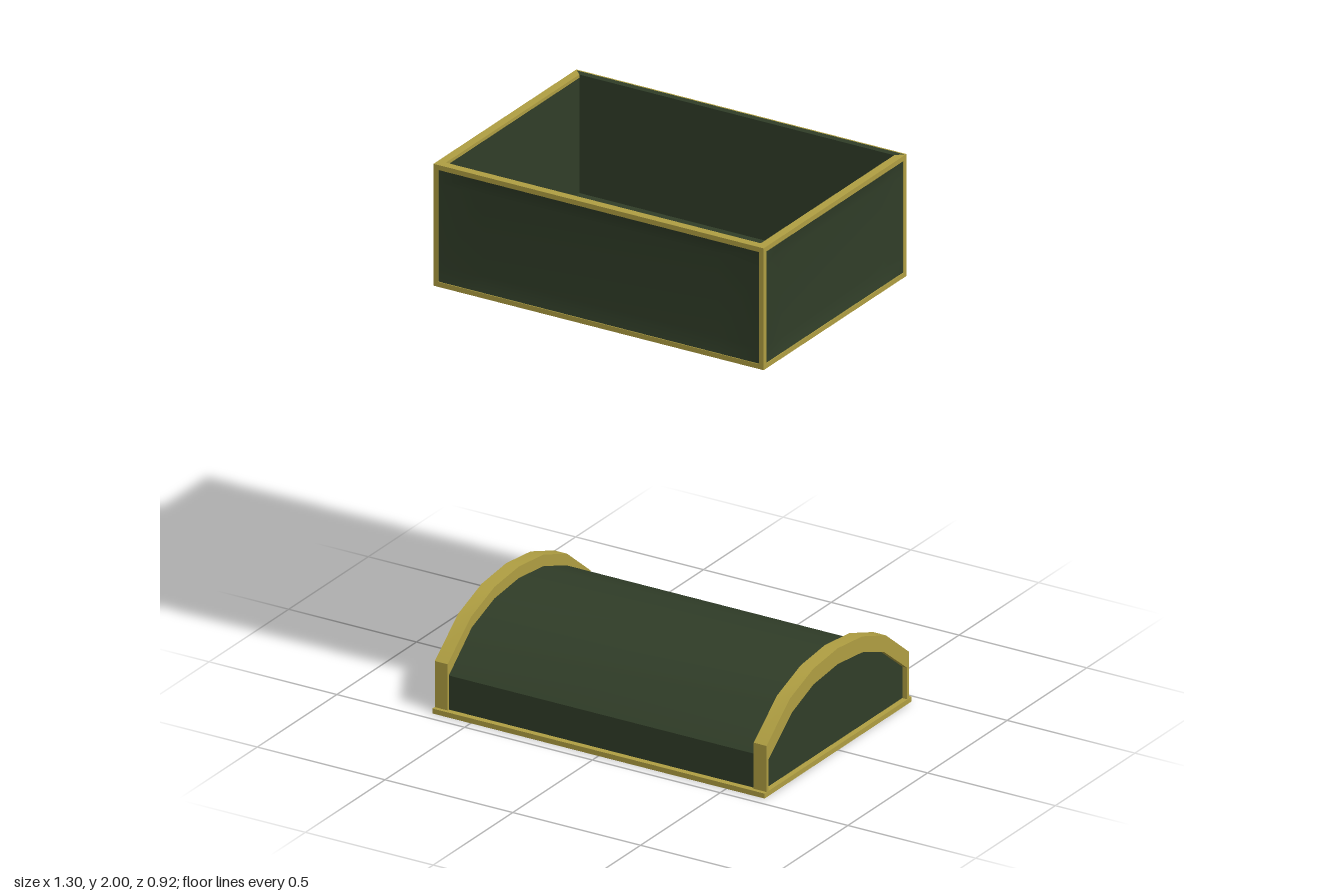
import * as THREE from 'three';
import { toCreasedNormals } from 'three/addons/utils/BufferGeometryUtils.js';

const green = new THREE.MeshStandardMaterial({ color: 0x303d28 });
const gold = new THREE.MeshStandardMaterial({ color: 0xb09f42 });

function addMesh(parent, name, geometry, material) {
  const mesh = new THREE.Mesh(geometry, material);
  mesh.name = name;
  parent.add(mesh);
  return mesh;
}

const polygon = (points) => new THREE.Shape(points.map(([x, y]) => new THREE.Vector2(x, y)));
const rect = (w, h) => [[-w / 2, -h / 2], [w / 2, -h / 2], [w / 2, h / 2], [-w / 2, h / 2]];
const extrude = (shape, depth) => new THREE.ExtrudeGeometry(shape, { depth, bevelEnabled: false });

// Rectangular ring in the xy plane, extruded along +z
function ring(w, h, border, depth) {
  const shape = polygon(rect(w, h));
  shape.holes.push(polygon(rect(w - 2 * border, h - 2 * border)));
  return extrude(shape, depth);
}

// Panel that dips towards its middle
function dishedPanel(w, h, edgeZ, middleZ) {
  const geo = new THREE.PlaneGeometry(w, h, 3, 3);
  const pos = geo.attributes.position;
  for (let i = 0; i < pos.count; i++) {
    const col = i % 4, row = Math.floor(i / 4);
    const inside = col % 3 !== 0 && row % 3 !== 0;
    if (col % 3) pos.setX(i, (col === 1 ? -1 : 1) * w * 0.365);
    if (row % 3) pos.setY(i, (row === 1 ? 1 : -1) * h * 0.365);
    pos.setZ(i, inside ? middleZ : edgeZ);
  }
  geo.computeVertexNormals();
  return geo;
}

// Open-topped box
function createBox() {
  const W = 1.292, D = 0.898, H = 0.444, wall = 0.03, trim = 0.006;
  const box = new THREE.Group();
  box.name = 'chestBox';

  const sides = [['front', W, D], ['right', D, W], ['back', W, D], ['left', D, W]];
  sides.forEach(([name, width, span], i) => {
    const side = new THREE.Group();
    side.name = name + 'Side';
    side.rotation.y = i * Math.PI / 2;
    const frame = addMesh(side, name + 'Frame', ring(width, H, 0.018, trim), gold);
    frame.position.set(0, H / 2, span / 2 - trim);
    const panel = addMesh(side, name + 'Panel', dishedPanel(width - 0.034, H - 0.034, -0.003, -0.014), green);
    panel.position.set(0, H / 2, span / 2);

    // Mitred rim on top of the wall; plain at the back
    const outer = width / 2 - trim, inner = width / 2 - wall;
    const rimShape = polygon([[-outer, -(span / 2 - trim)], [outer, -(span / 2 - trim)],
      [inner, -(span / 2 - wall)], [-inner, -(span / 2 - wall)]]);
    const rim = addMesh(side, name + 'Rim', extrude(rimShape, 0.012), name === 'back' ? green : gold);
    rim.rotation.x = -Math.PI / 2;
    rim.position.y = H - 0.012;
    box.add(side);
  });

  // Inner walls and floor
  const lining = addMesh(box, 'innerWalls', ring(W - 0.042, D - 0.042, 0.009, H - 0.015), green);
  lining.rotation.x = -Math.PI / 2;
  lining.position.y = 0.003;
  const floor = addMesh(box, 'floor', new THREE.BoxGeometry(W - 0.012, 0.012, D - 0.012), green);
  floor.position.y = 0.0065;
  return box;
}

// Mirrors a half profile (side to crown) into a full arch outline starting at height y0
function archOutline(half, y0) {
  const right = [[half[0][0], y0], ...half];
  const left = right.slice(0, -1).reverse().map(([x, y]) => [-x, y]);
  return [...right, ...left];
}

// Extrudes an outline along x, centred on the given x
function alongX(points, length, x = 0) {
  const geo = extrude(polygon(points), length);
  geo.translate(0, 0, -length / 2);
  geo.rotateY(Math.PI / 2);
  geo.translate(x, 0, 0);
  return toCreasedNormals(geo, 0.5);
}

// Hollow barrel lid
function createLid() {
  const lid = new THREE.Group();
  lid.name = 'lid';
  const base = 0.015;
  const archOuter = archOutline([[0.448, 0.186], [0.302, 0.302], [0.154, 0.355], [0, 0.371]], base);
  const archInner = archOutline([[0.435, 0.133], [0.29, 0.246], [0.154, 0.297], [0, 0.313]], base);
  const skinOuter = archOutline([[0.44, 0.142], [0.296, 0.262], [0.154, 0.313], [0, 0.329]], base);
  const skinInner = archOutline([[0.42, 0.128], [0.284, 0.243], [0.15, 0.292], [0, 0.308]], base);
  const band = (outer, inner) => [...outer, ...[...inner].reverse()];

  addMesh(lid, 'barrel', alongX(band(skinOuter, skinInner), 1.23), green);
  for (const s of [-1, 1]) {
    const name = s > 0 ? 'left' : 'right';
    addMesh(lid, name + 'Arch', alongX(band(archOuter, archInner), 0.05, s * 0.624), gold);
    addMesh(lid, name + 'EndPanel', alongX(archInner, 0.016, s * 0.622), green);
  }
  const rim = addMesh(lid, 'lidRim', ring(1.3, 0.924, 0.04, 0.018), gold);
  rim.rotation.x = -Math.PI / 2;
  return lid;
}

export function createModel() {
  const model = new THREE.Group();
  model.name = 'chest';
  const box = createBox();
  box.position.set(-0.004, 1.556, 0.006);
  model.add(box, createLid());
  return model;
}
